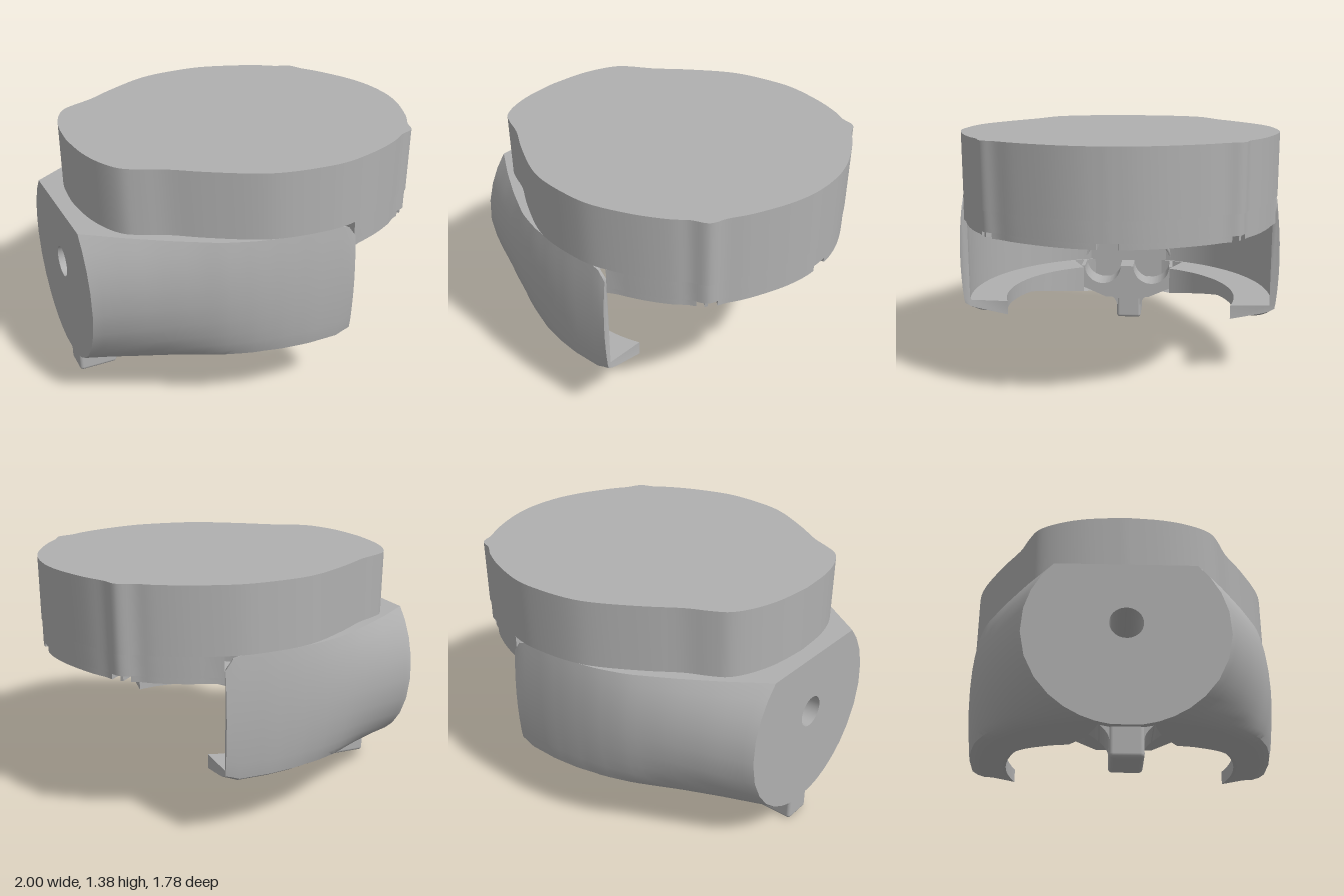
import * as THREE from 'three';
import { toCreasedNormals } from 'three/addons/utils/BufferGeometryUtils.js';
import { RoundedBoxGeometry } from 'three/addons/geometries/RoundedBoxGeometry.js';

const TOP = 1.027;
const V2 = (x, y) => new THREE.Vector2(x, y);

// Linear lookup in a small table
function lookup(xs, ys, x) {
  let i = 0;
  while (i < xs.length - 2 && x > xs[i + 1]) i++;
  const t = THREE.MathUtils.clamp((x - xs[i]) / (xs[i + 1] - xs[i]), 0, 1);
  return ys[i] + (ys[i + 1] - ys[i]) * t;
}

// Plan shape standing upright between two heights
function slab(points, y0, y1) {
  const g = new THREE.ExtrudeGeometry(new THREE.Shape(points), { depth: y1 - y0, bevelEnabled: false });
  g.rotateX(-Math.PI / 2).translate(0, y0, 0);
  return toCreasedNormals(g, 0.5);
}

// Front-on shape (z, y) running between two x positions
function alongX(shape, x0, x1) {
  const g = new THREE.ExtrudeGeometry(shape, { depth: x1 - x0, bevelEnabled: false, curveSegments: 24 });
  g.rotateY(Math.PI / 2).translate(x0, 0, 0);
  return toCreasedNormals(g, 0.5);
}

// One cross-section of the cradle, for the +z half
function section(x, face) {
  const s = lookup([-1, -0.8, -0.6, -0.4, -0.25, -0.1, 0.05, 0.3], [0, 0.29, 0.55, 0.78, 0.89, 0.955, 0.99, 1], x);
  const yb = lookup([-1, -0.8, -0.6, -0.4, -0.2, 0.22, 0.3], [0.15, 0.22, 0.28, 0.315, 0.332, 0.34, 0.375], x);
  const yt = lookup([0.22, 0.26, 0.3], [TOP, 1.015, 0.96], x);
  const pts = [];
  // outer skin, from the bottom edge to the top edge
  for (const v of [0, 0.02, 0.05, 0.1, 0.17, 0.27, 0.4, 0.55, 0.7, 0.82, 0.92, 1]) {
    const w = Math.sqrt(0.515 ** 2 - (0.15 + v * (TOP - 0.15) - 0.66) ** 2);
    const arm = 0.892 - 0.02 * (2 * v - 1) ** 2 - 0.07 * Math.max(0, 1 - v / 0.06) ** 2;
    const z = THREE.MathUtils.lerp(w + (arm - w) * s, Math.min(w, 0.125), face);
    pts.push(new THREE.Vector3(x, yb + v * (yt - yb), z));
  }
  // inner wall, upper ledge and floor lip follow arcs around (0.1, 0)
  const zMid = THREE.MathUtils.lerp(0.515 + 0.377 * s, 0.15, face);
  const a = Math.atan2(zMid, x - 0.1), a0 = Math.atan2(0.892, 0.2);
  const lipA = face > 0 ? a : THREE.MathUtils.mapLinear(a, a0, 2.71, 1.263, 2.71);
  const ledge = lookup([1.55, 1.75], [0.868, 0.75], a);
  const lip = face > 0 ? 0.86 : 0.66;
  const lipY = lookup([1.35, 2.1, 2.43, 2.75, 3.14], [0.34, 0.33, 0.285, 0.25, 0.23], a);
  const arc = (r, t, y) => pts.push(new THREE.Vector3(0.1 + r * Math.cos(t), y, r * Math.sin(t)));
  arc(ledge, a, yt);
  arc(ledge, a, 0.89);
  arc(0.868, a, 0.889);
  arc(0.868, a, 0.42);
  arc(lip, lipA, 0.419);
  arc(lip, lipA, lipY);
  return pts;
}

// Closed band through a row of cross-sections, capped at both arm tips
function cradleHalf(mirror) {
  const rows = [];
  for (const x of [0.3, 0.28, 0.26, 0.22]) rows.push(section(x, 0));
  for (let i = 0; i <= 24; i++) rows.push(section(0.15 - 1.15 * i / 24, 0));
  for (let i = 0; i <= 5; i++) rows.push(section(-1, Math.max(0.002, i / 5)));
  const n = rows[0].length, pos = [], idx = [];
  for (const row of rows) for (const p of row) pos.push(p.x, p.y, mirror ? -p.z : p.z);
  const tri = (a, b, c) => (mirror ? idx.push(a, c, b) : idx.push(a, b, c));
  for (let i = 0; i < rows.length - 1; i++) {
    for (let j = 0; j < n; j++) {
      const k = (j + 1) % n, a = i * n + j, b = i * n + k;
      tri(a, b, a + n);
      tri(b, b + n, a + n);
    }
  }
  const flat = rows[0].map(p => V2(-p.z, p.y));
  for (const [a, b, c] of THREE.ShapeUtils.triangulateShape(flat, [])) {
    const area = THREE.ShapeUtils.area([flat[a], flat[b], flat[c]]);
    if (area > 0) tri(a, b, c); else tri(a, c, b);
  }
  const g = new THREE.BufferGeometry();
  g.setAttribute('position', new THREE.Float32BufferAttribute(pos, 3));
  g.setIndex(idx);
  return toCreasedNormals(g, 0.6);
}

export function createModel() {
  const model = new THREE.Group();
  const grey = new THREE.MeshStandardMaterial({ color: 0xb0b0b0 });
  grey.name = 'plain grey';
  const add = (name, geometry, parent = model) => {
    const m = new THREE.Mesh(geometry, grey);
    m.name = name;
    parent.add(m);
    return m;
  };

  // Lid: wavy round plan, deeper at the front than over the cradle
  const lid = new THREE.Group();
  lid.name = 'lid';
  model.add(lid);
  const half = new THREE.SplineCurve([
    [1, 0], [0.99, 0.13], [0.95, 0.28], [0.87, 0.46], [0.805, 0.565], [0.78, 0.63], [0.75, 0.66], [0.68, 0.685],
    [0.6, 0.74], [0.45, 0.81], [0.25, 0.87], [0.1, 0.878], [-0.1, 0.855], [-0.25, 0.8], [-0.45, 0.68],
    [-0.6, 0.575], [-0.72, 0.515], [-0.8, 0.46], [-0.86, 0.35], [-0.9, 0.2], [-0.917, 0],
  ].map(p => V2(...p))).getPoints(80);
  const outline = [...half, ...half.slice(1, -1).reverse().map(p => V2(p.x, -p.y))];
  add('lidTop', slab(outline, 1.03, 1.38), lid);
  const front = half.filter(p => p.x > 0.3).map(p => V2(p.x - 0.003, p.y * 0.993));
  const frontPlan = [...front, V2(0.3, 0.86), V2(0.3, -0.86), ...front.slice(1).reverse().map(p => V2(p.x, -p.y))];
  add('lidFront', slab(frontPlan, 0.92, 1.03), lid);

  // Underside pads, leaving three radial grooves
  const inner = front.filter(p => p.y > 0.05 && p.y < 0.6);
  const outer = front.filter(p => p.y > 0.67);
  const pads = [
    [V2(0.3, 0.05), V2(0.992, 0.05), ...inner, V2(0.3, 0.14)],
    [V2(0.3, 0.26), V2(0.71, 0.665), ...outer, V2(0.3, 0.86)],
  ];
  for (const side of [1, -1]) {
    for (const pad of pads) add('lidPad', slab(pad.map(p => V2(p.x, side * p.y)), 0.89, 0.921), lid);
    const rib = add('grooveRib', new THREE.BoxGeometry(0.62, 0.03, 0.015), lid);
    rib.position.set(0.53, 0.906, side * 0.42);
    rib.rotation.y = -side * Math.PI / 4;
  }

  // Cradle arms
  add('leftCradleArm', cradleHalf(false));
  add('rightCradleArm', cradleHalf(true));

  // Spine with a through hole, closing the back between the arms
  const spine = new THREE.Shape([
    V2(-0.13, 0.162), V2(-0.07, 0.15), V2(0.07, 0.15), V2(0.13, 0.162), V2(0.13, TOP), V2(-0.13, TOP),
  ]);
  spine.holes.push(new THREE.Path().absarc(0, 0.69, 0.085, 0, Math.PI * 2, true));
  add('spine', alongX(spine, -1, -0.71));

  // Floor block with two round cut-outs
  const block = new THREE.Shape();
  block.moveTo(-0.3, 0.42);
  block.lineTo(-0.3, 0.28);
  block.lineTo(-0.14, 0.21);
  block.lineTo(0.14, 0.21);
  block.lineTo(0.3, 0.28);
  block.lineTo(0.3, 0.42);
  block.absarc(0.16, 0.42, 0.118, 0, Math.PI, true);
  block.absarc(-0.16, 0.42, 0.118, 0, Math.PI, true);
  add('floorBlock', alongX(block, -0.9, -0.54));

  // Socket ends and their raised collars
  for (const z of [-0.16, 0.16]) {
    const pad = add('socketEnd', new THREE.CylinderGeometry(0.118, 0.118, 0.07, 36));
    pad.rotation.z = Math.PI / 2;
    pad.position.set(-0.765, 0.42, z);
    const collar = add('socketCollar', new THREE.TorusGeometry(0.13, 0.016, 8, 24, Math.PI));
    collar.rotation.y = Math.PI / 2;
    collar.position.set(-0.735, 0.42, z);
  }

  // Foot under the back, with a flared neck
  add('foot', new RoundedBoxGeometry(0.22, 0.28, 0.165, 3, 0.02)).position.set(-0.865, 0.14, 0);
  const neck = new THREE.Shape();
  neck.moveTo(-0.08, 0.09);
  neck.lineTo(0.08, 0.09);
  neck.quadraticCurveTo(0.09, 0.15, 0.2, 0.215);
  neck.lineTo(-0.2, 0.215);
  neck.quadraticCurveTo(-0.09, 0.15, -0.08, 0.09);
  add('footNeck', alongX(neck, -0.965, -0.76));
  return model;
}
